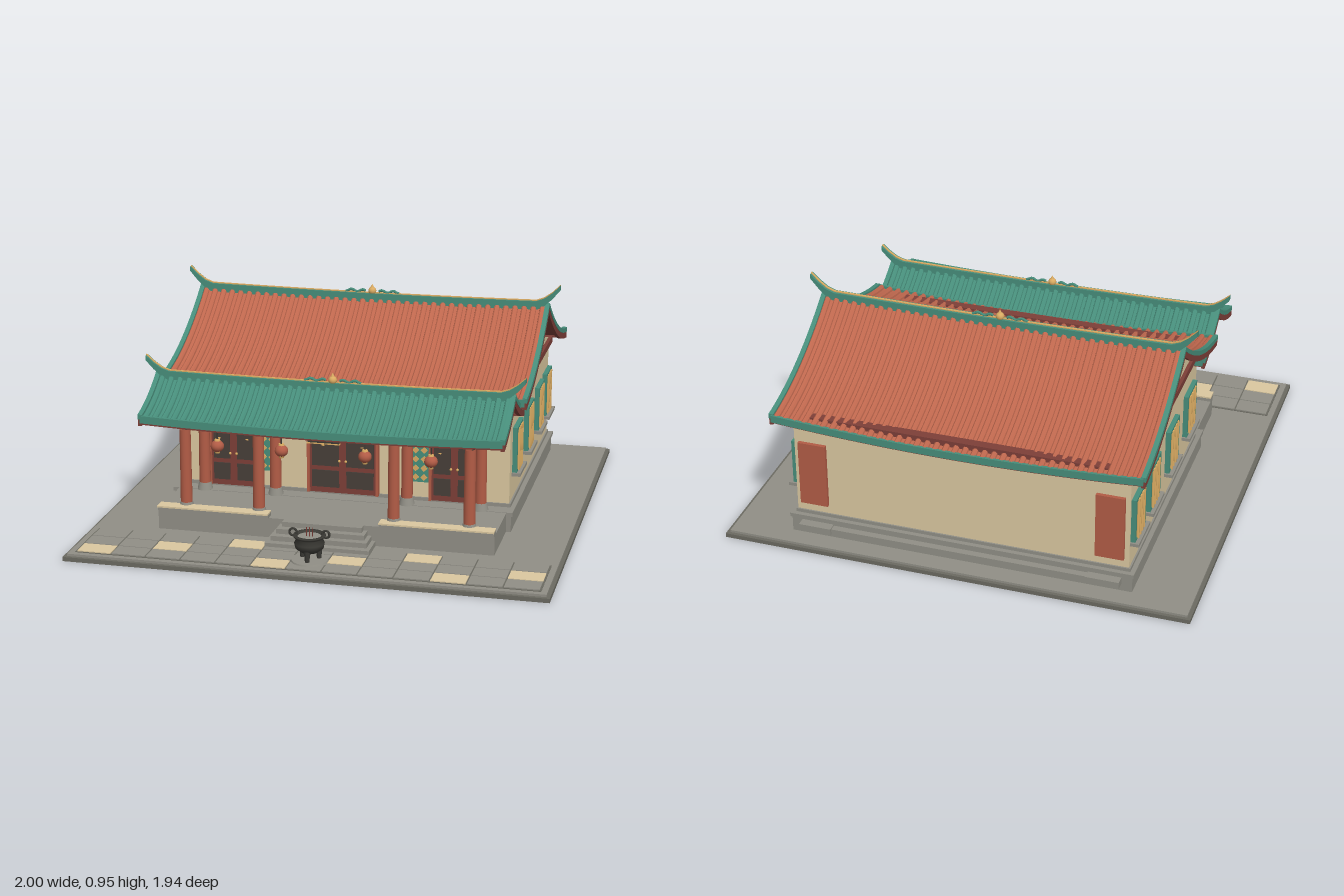
import * as THREE from 'three';
import { toCreasedNormals } from 'three/addons/utils/BufferGeometryUtils.js';

const mat = (name, color, side = THREE.FrontSide) =>
  Object.assign(new THREE.MeshStandardMaterial({ color, side }), { name });

export function createModel() {
  const D = THREE.DoubleSide;
  const tileRed = mat('roof tile red', 0xc0684e, D), teal = mat('glazed teal', 0x478e7b, D);
  const darkRed = mat('dark red timber', 0x7d3f38, D), gold = mat('gold', 0xdaab62, D);
  const columnRed = mat('column red', 0xb25c46), wall = mat('beige plaster', 0xdbc8a0);
  const stone = mat('grey stone', 0x918f86), slab = mat('dark stone', 0x6b6a61);
  const dark = mat('dark iron', 0x3c3b36), doorBrown = mat('door brown', 0x483f39);

  const model = new THREE.Group();
  model.name = 'courtyardHall';
  let target = model;
  const section = (name) => {
    target = new THREE.Group();
    target.name = name;
    model.add(target);
  };
  const add = (name, geo, m, x = 0, y = 0, z = 0) => {
    const mesh = new THREE.Mesh(geo, m);
    mesh.name = name;
    mesh.position.set(x, y, z);
    target.add(mesh);
    return mesh;
  };
  // Box given by its limits on each axis
  const span = (name, m, [x0, x1], [y0, y1], [z0, z1]) =>
    add(name, new THREE.BoxGeometry(x1 - x0, y1 - y0, z1 - z0), m, (x0 + x1) / 2, (y0 + y1) / 2, (z0 + z1) / 2);
  const cyl = (name, m, r0, r1, h, x, y, z, n = 16) =>
    add(name, new THREE.CylinderGeometry(r0, r1, h, n), m, x, y + h / 2, z);

  // Surface through rows of points; closed rows get end caps
  const loft = (rows, closed = false) => {
    const n = rows[0].length, index = [];
    for (let i = 0; i < rows.length - 1; i++)
      for (let j = 0; j < (closed ? n : n - 1); j++) {
        const k = (j + 1) % n, a = i * n + j, b = i * n + k;
        index.push(a, b, a + n, b, b + n, a + n);
      }
    const last = (rows.length - 1) * n;
    if (closed) for (let j = 1; j < n - 1; j++) index.push(0, j + 1, j, last, last + j, last + j + 1);
    const g = new THREE.BufferGeometry();
    g.setAttribute('position', new THREE.Float32BufferAttribute(rows.flat(2), 3));
    g.setIndex(index);
    return toCreasedNormals(g, 0.5);
  };
  const steps = (n, f) => Array.from({ length: n + 1 }, (_, i) => f(i / n));

  // Ground slab and paving
  section('ground');
  span('slabEdge', slab, [-1, 1], [0, 0.018], [-0.97, 0.97]);
  span('slabTop', stone, [-0.985, 0.985], [0.018, 0.028], [-0.955, 0.955]);
  span('pavingJoints', slab, [-0.96, 0.96], [0.028, 0.03], [0.64, 0.93]);
  for (let r = 0; r < 3; r++)
    for (let c = 0; c < 13; c++) {
      const x = -0.955 + c * 0.147, z = 0.645 + r * 0.094;
      span('pavingTile', (c + 2 * r) % 5 === 4 ? wall : stone, [x + 0.003, x + 0.144], [0.028, 0.034], [z + 0.003, z + 0.091]);
    }

  // Platform, front steps and rear ledge
  section('platform');
  span('hallBase', stone, [-0.735, 0.735], [0.028, 0.098], [-0.87, 0.29]);
  span('hallBaseTop', stone, [-0.742, 0.742], [0.098, 0.115], [-0.877, 0.295]);
  span('porchBase', stone, [-0.715, 0.715], [0.028, 0.113], [0.28, 0.58]);
  for (let i = 0; i < 4; i++)
    span('step', stone, [-0.22 + i * 0.017, 0.22 - i * 0.017], [0.028, 0.05 + i * 0.021], [0.57, 0.705 - i * 0.031]);
  span('rearLedge', stone, [-0.68, 0.68], [0.058, 0.085], [-0.9, -0.86]);
  for (const s of [-1, 1]) {
    span('rearLedgeEnd', stone, [s * 0.62 - 0.07, s * 0.62 + 0.07], [0.06, 0.09], [-0.91, -0.86]);
    span('porchCurb', stone, [s * 0.475 - 0.24, s * 0.475 + 0.24], [0.113, 0.128], [0.545, 0.59]);
    span('porchCurbTop', wall, [s * 0.475 - 0.24, s * 0.475 + 0.24], [0.128, 0.135], [0.545, 0.6]);
  }

  // Hall body with curved gables
  section('hall');
  const mainDrop = (t) => 0.44 * t - 0.18 * t * t;
  const body = new THREE.Shape();
  body.moveTo(-0.85, 0.115);
  body.lineTo(0.22, 0.115);
  for (let i = 0; i <= 16; i++) {
    const z = 0.22 - (i / 16) * 1.07;
    body.lineTo(z, 0.825 - mainDrop(Math.abs(z + 0.32) / 0.6));
  }
  add('hallWalls', new THREE.ExtrudeGeometry(body, { depth: 1.43, bevelEnabled: false }).rotateY(-Math.PI / 2), wall, 0.715);
  span('wallFoot', stone, [-0.722, 0.722], [0.115, 0.13], [-0.857, 0.227]);
  span('wallBand', darkRed, [-0.73, 0.73], [0.55, 0.58], [-0.87, 0.25]);
  for (const z of [-0.858, 0.222]) span('roofBeam', darkRed, [-0.63, 0.63], [0.57, 0.599], [z - 0.02, z + 0.02]);
  for (const s of [-1, 1])
    span('rearPanel', columnRed, [s * 0.635 - 0.06, s * 0.635 + 0.06], [0.17, 0.46], [-0.866, -0.845]);

  // Barred side windows
  for (const s of [-1, 1])
    for (const z of [0.078, -0.225, -0.53, -0.76]) {
      const win = new THREE.Group();
      win.name = 'sideWindow';
      target = win;
      span('pane', dark, [0.71, 0.718], [0.25, 0.44], [-0.07, 0.07]);
      for (const e of [-1, 1]) {
        span('frameSide', teal, [0.71, 0.735], [0.245, 0.445], [e * 0.071 - 0.008, e * 0.071 + 0.008]);
        span('frameRail', teal, [0.71, 0.735], [0.343 + e * 0.095 - 0.007, 0.343 + e * 0.095 + 0.007], [-0.07, 0.07]);
      }
      for (let b = 0; b < 4; b++) cyl('bar', gold, 0.008, 0.008, 0.186, 0.734, 0.25, -0.042 + b * 0.028, 10);
      span('sill', stone, [0.71, 0.752], [0.233, 0.247], [-0.088, 0.088]);
      win.position.z = z;
      if (s < 0) {
        win.rotation.y = Math.PI;
      }
      model.add(win);
    }

  // Doors and lattice panels on the front wall
  section('frontDoors');
  const door = (cx, hw) => {
    span('doorFrame', darkRed, [cx - hw, cx + hw], [0.125, 0.43], [0.21, 0.24]);
    span('doorLintel', columnRed, [cx - hw - 0.008, cx + hw + 0.008], [0.422, 0.436], [0.21, 0.252]);
    for (const s of [-1, 1]) {
      span('doorJamb', columnRed, [cx + s * (hw - 0.005) - 0.006, cx + s * (hw - 0.005) + 0.006], [0.125, 0.425], [0.21, 0.25]);
      const m = cx + s * (hw / 2 - 0.002), w = hw / 2 - 0.018;
      for (const y of [[0.245, 0.405], [0.15, 0.225]]) span('doorPanel', doorBrown, [m - w, m + w], y, [0.235, 0.245]);
      add('doorKnob', new THREE.SphereGeometry(0.006, 10, 8), gold, cx + s * 0.014, 0.27, 0.246);
      for (let k = 0; k < 2; k++) span('doorStud', gold, [m - 0.006 + s * 0.01, m + 0.006 + s * 0.01], [0.335 + k * 0.03, 0.339 + k * 0.03], [0.24, 0.248]);
    }
  };
  door(0, 0.155);
  for (const s of [-1, 1]) {
    door(s * 0.483, 0.108);
    const x = s * 0.333;
    span('latticePanel', teal, [x - 0.038, x + 0.038], [0.2, 0.405], [0.215, 0.232]);
    for (let r = 0; r < 5; r++)
      for (const c of [-1, 1])
        add('latticeDiamond', new THREE.BoxGeometry(0.021, 0.021, 0.006), gold, x + c * 0.018, 0.222 + r * 0.04, 0.233).rotation.z = Math.PI / 4;
  }

  // Porch columns, brackets and beams
  section('porch');
  for (const x of [-0.603, -0.287, 0.287, 0.603]) {
    for (const z of [0.54, 0.275]) {
      cyl('columnFoot', stone, 0.026, 0.034, 0.032, x, 0.113, z);
      cyl('column', columnRed, 0.023, 0.025, 0.33, x, 0.14, z);
      span('capital', dark, [x - 0.034, x + 0.034], [0.487, 0.503], [z - 0.034, z + 0.034]);
      span('bracket', darkRed, [x - 0.045, x + 0.045], [0.503, 0.522], [z - 0.045, z + 0.045]);
      cyl('columnNeck', dark, 0.032, 0.022, 0.027, x, 0.462, z);
    }
    span('crossBeam', columnRed, [x - 0.012, x + 0.012], [0.468, 0.487], [0.22, 0.58]);
    span('lowerCrossBeam', columnRed, [x - 0.01, x + 0.01], [0.442, 0.455], [0.22, 0.56]);
  }
  for (const z of [0.54, 0.275]) {
    span('longBeam', darkRed, [-0.66, 0.66], [0.478, 0.497], [z - 0.012, z + 0.012]);
    span('eavePurlin', darkRed, [-0.7, 0.7], [0.518, 0.53], [z - 0.012, z + 0.012]);
  }
  span('plaque', dark, [-0.066, 0.066], [0.456, 0.492], [0.57, 0.582]);
  for (const y of [0.453, 0.487]) span('plaqueTrim', gold, [-0.07, 0.07], [y, y + 0.004], [0.568, 0.586]);

  // Hanging lanterns
  for (const x of [-0.45, -0.176, 0.176, 0.45]) {
    add('lantern', new THREE.SphereGeometry(0.028, 16, 12), columnRed, x, 0.413, 0.585).scale.y = 0.9;
    cyl('lanternCap', gold, 0.011, 0.013, 0.007, x, 0.436, 0.585);
    cyl('lanternFoot', gold, 0.012, 0.01, 0.007, x, 0.383, 0.585);
    cyl('lanternCord', dark, 0.003, 0.003, 0.075, x, 0.44, 0.585, 6);
  }

  // Curved, sagging tile roof with ridge and upswept tips
  const roof = (name, o) => {
    section(name);
    const surf = (x, t) => o.y - o.a * t + o.b * t * t - o.sag * (1 - (x / o.hw) ** 2) * (0.3 + 0.7 * t);
    const tiles = Math.round((2 * o.hw) / 0.0395), p = (2 * o.hw) / tiles;
    const roll = [[-0.5, 0], [-0.33, 0], [-0.28, 0.008], [-0.13, 0.014], [0.13, 0.014], [0.28, 0.008], [0.33, 0]];
    for (const s of [-1, 1]) {
      const z = (t) => o.z + s * t * o.span;
      const sheet = steps(14, (t) => Array.from({ length: tiles }, (_, i) =>
        roll.map(([dx, h]) => { const x = -o.hw + (i + 0.5 + dx) * p; return [x, surf(x, t) + h, z(t)]; })).flat());
      add('tiles', loft(sheet), o.mat);
      add('soffit', loft(steps(10, (t) => steps(16, (u) => { const x = (2 * u - 1) * o.hw; return [x, surf(x, t) - 0.014, z(t)]; }))), darkRed);
      // Boards running along x at the eave, and along the slope at each gable end
      const eave = (label, m, z0, z1, y0, y1) => add(label, loft(steps(24, (u) => {
        const x = (2 * u - 1) * o.hw, y = surf(x, 1), e = z(1);
        return [[x, y + y0, e + s * z0], [x, y + y0, e + s * z1], [x, y + y1, e + s * z1], [x, y + y1, e + s * z0]];
      }), true), m);
      eave('eaveTrim', teal, -0.006, 0.006, -0.018, 0.013);
      eave('eaveBoard', darkRed, -0.025, -0.006, -0.028, -0.01);
      for (const e of [-1, 1]) {
        const rake = (label, m, w, y0, y1) => add(label, loft(steps(14, (t) => {
          const x = e * o.hw, y = surf(x, t);
          return [[x - w, y + y0, z(t)], [x + w, y + y0, z(t)], [x + w, y + y1, z(t)], [x - w, y + y1, z(t)]];
        }), true), m);
        rake('rakeTrim', teal, 0.01, -0.004, 0.017);
        rake('bargeBoard', darkRed, 0.008, -0.032, -0.004);
      }
    }
    const ridge = (label, m, w, y0, y1) => add(label, loft(steps(48, (u) => {
      const q = 2 * u - 1, k = Math.max(0, (Math.abs(q) - 0.88) / 0.12), x = q * o.tipX;
      const y = o.y + 0.018 + 0.008 * q * q + o.tip * k ** 1.5, b = y + y1 + (y0 - y1) * (1 - 0.5 * k);
      return [[x, b, o.z - w], [x, b, o.z + w], [x, y + y1, o.z + w], [x, y + y1, o.z - w]];
    }), true), m);
    ridge('ridge', teal, 0.015, -0.04, 0);
    ridge('ridgeCap', gold, 0.005, -0.002, 0.004);
    // Ridge jewel flanked by wavy ornaments
    const top = o.y + 0.018;
    add('ridgeJewel', new THREE.SphereGeometry(0.018, 14, 10), gold, 0, top + 0.01, o.z);
    cyl('jewelTip', gold, 0.001, 0.01, 0.018, 0, top + 0.022, o.z, 10);
    for (const s of [-1, 1]) {
      const pts = steps(8, (u) => new THREE.Vector3(s * (0.03 + u * 0.09), top + 0.008 + 0.005 * Math.sin(u * 11), o.z));
      add('ridgeOrnament', new THREE.TubeGeometry(new THREE.CatmullRomCurve3(pts), 24, 0.006, 6), teal);
    }
  };
  roof('mainRoof', { z: -0.32, y: 0.855, hw: 0.78, span: 0.6, a: 0.44, b: 0.18, sag: 0.03, tip: 0.07, tipX: 0.835, mat: tileRed });
  roof('porchRoof', { z: 0.415, y: 0.65, hw: 0.755, span: 0.255, a: 0.18, b: 0.065, sag: 0.016, tip: 0.06, tipX: 0.805, mat: teal });

  // Incense burner in front of the steps
  section('incenseBurner');
  const bz = 0.815;
  cyl('burnerPad', stone, 0.075, 0.08, 0.012, 0, 0.028, bz, 24);
  const profile = [[0, 0.068], [0.035, 0.072], [0.058, 0.09], [0.062, 0.11], [0.052, 0.128], [0.066, 0.138], [0.066, 0.144], [0.052, 0.144], [0.046, 0.128], [0, 0.128]];
  add('bowl', new THREE.LatheGeometry(profile.map(([x, y]) => new THREE.Vector2(x, y)), 24), dark, 0, 0, bz);
  cyl('ash', stone, 0.049, 0.046, 0.006, 0, 0.13, bz, 24);
  for (let i = 0; i < 3; i++) {
    const a = (i * 2 * Math.PI) / 3 + Math.PI / 2;
    cyl('burnerLeg', dark, 0.014, 0.009, 0.05, 0.04 * Math.cos(a), 0.036, bz + 0.04 * Math.sin(a), 8);
    cyl('incenseStick', darkRed, 0.002, 0.002, 0.05, (i - 1) * 0.012, 0.125, bz, 6);
  }
  for (const s of [-1, 1])
    add('burnerHandle', new THREE.TorusGeometry(0.015, 0.005, 8, 14), dark, s * 0.068, 0.15, bz);

  return model;
}
